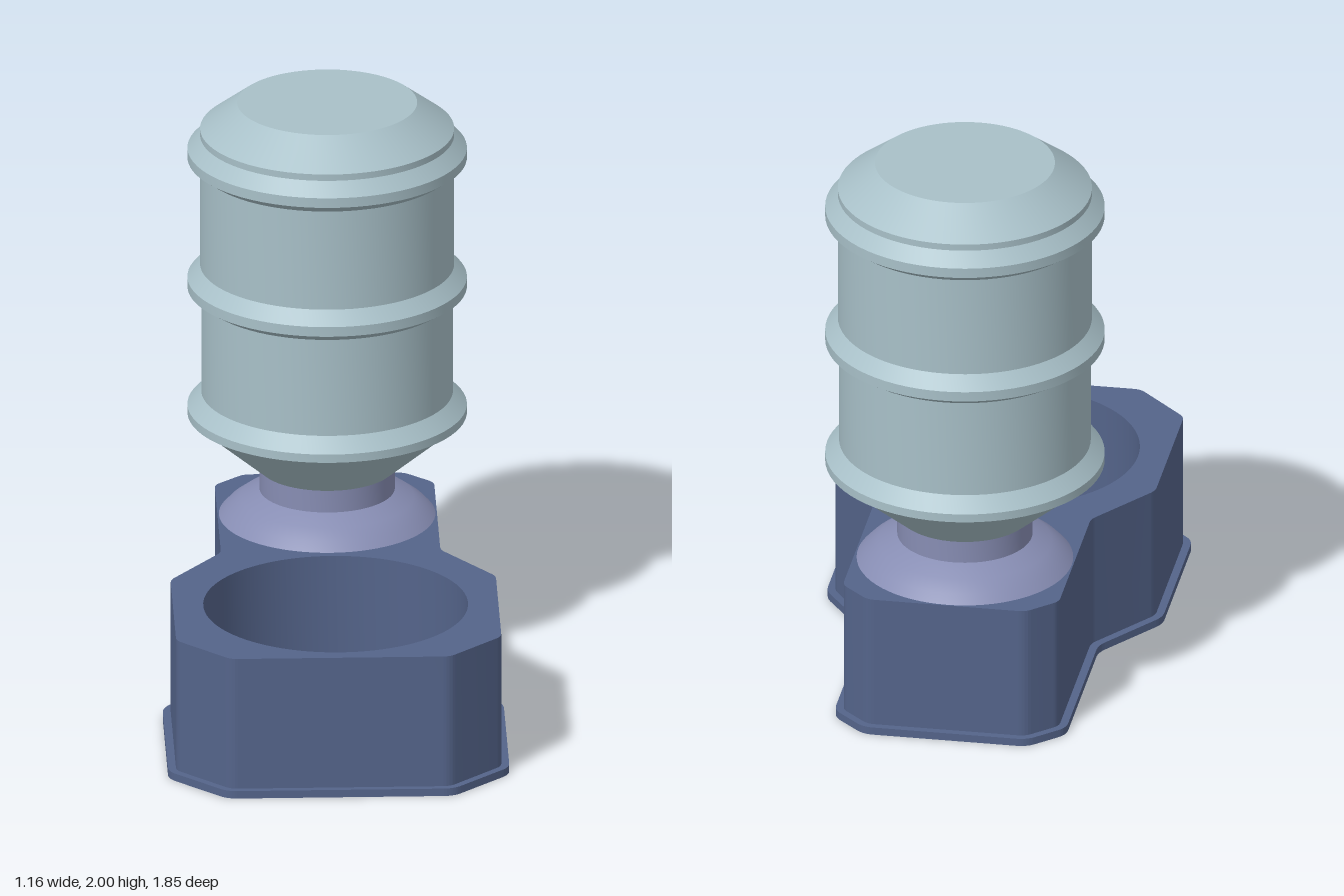
import * as THREE from 'three';
import { toCreasedNormals } from 'three/addons/utils/BufferGeometryUtils.js';

const AXIS_Z = -0.447; // bottle axis
const BOWL_Z = 0.4;

// Mirrored outline in (x, z) with slightly rounded corners; half is listed front to back on +x
function outline(half, radius) {
  const right = half.map(([x, z]) => new THREE.Vector2(x, -z));
  const left = right.map((p) => new THREE.Vector2(-p.x, p.y)).reverse();
  const pts = [...right, ...left];
  const shape = new THREE.Shape();
  pts.forEach((p, i) => {
    const prev = pts[(i + pts.length - 1) % pts.length];
    const next = pts[(i + 1) % pts.length];
    const a = p.clone().add(prev.clone().sub(p).setLength(radius));
    const b = p.clone().add(next.clone().sub(p).setLength(radius));
    if (i === 0) shape.moveTo(a.x, a.y);
    else shape.lineTo(a.x, a.y);
    shape.quadraticCurveTo(p.x, p.y, b.x, b.y);
  });
  shape.closePath();
  return shape;
}

// Vertical prism from a plan outline
function prism(shape, y0, y1) {
  const g = new THREE.ExtrudeGeometry(shape, { depth: y1 - y0, bevelEnabled: false, curveSegments: 48 });
  g.rotateX(-Math.PI / 2);
  g.translate(0, y0, 0);
  return toCreasedNormals(g, 0.4);
}

function turned(profile) {
  const g = new THREE.LatheGeometry(profile.map(([r, y]) => new THREE.Vector2(r, y)), 72);
  return toCreasedNormals(g, 0.35);
}

export function createModel() {
  const group = new THREE.Group();
  const material = (name, color) => {
    const m = new THREE.MeshStandardMaterial({ color });
    m.name = name;
    return m;
  };
  const baseBlue = material('base blue', 0x54648a);
  const collarViolet = material('collar violet', 0x878db3);
  const bottleGrey = material('bottle grey blue', 0xa8c0c8);

  const add = (name, geometry, mat, z = 0) => {
    const mesh = new THREE.Mesh(geometry, mat);
    mesh.name = name;
    mesh.position.z = z;
    group.add(mesh);
  };

  // Foot flange, whose top is also the bowl floor
  const footShape = outline([
    [0.385, 0.923], [0.58, 0.73], [0.58, 0.145], [0.4, -0.105], [0.4, -0.735], [0.282, -0.846],
  ], 0.035);
  add('footFlange', prism(footShape, 0, 0.027), baseBlue);

  // Base block with the open bowl
  const blockShape = outline([
    [0.373, 0.9], [0.553, 0.72], [0.553, 0.155], [0.373, -0.095], [0.373, -0.725], [0.272, -0.82],
  ], 0.025);
  const hole = new THREE.Path();
  hole.absarc(0, -BOWL_Z, 0.45, 0, Math.PI * 2, true);
  blockShape.holes.push(hole);
  add('baseBlock', prism(blockShape, 0.027, 0.5), baseBlue);

  // Domed collar and neck holding the bottle
  add('collar', turned([
    [0.37, 0.498], [0.34, 0.53], [0.295, 0.563], [0.23, 0.593], [0.23, 0.675], [0, 0.675],
  ]), collarViolet, AXIS_Z);

  // Bottle: funnel, three ribs and a tapered top
  const rib = (y, below, above) => [[below, y], [0.475, y + 0.03], [0.475, y + 0.065], [above, y + 0.112]];
  add('bottle', turned([
    [0, 0.672], [0.23, 0.672], [0.455, 0.864], [0.475, 0.87], [0.475, 0.9], [0.428, 0.95],
    ...rib(1.3, 0.428, 0.432),
    ...rib(1.77, 0.432, 0.432),
    [0.432, 1.905], [0.306, 2], [0, 2],
  ]), bottleGrey, AXIS_Z);

  return group;
}
